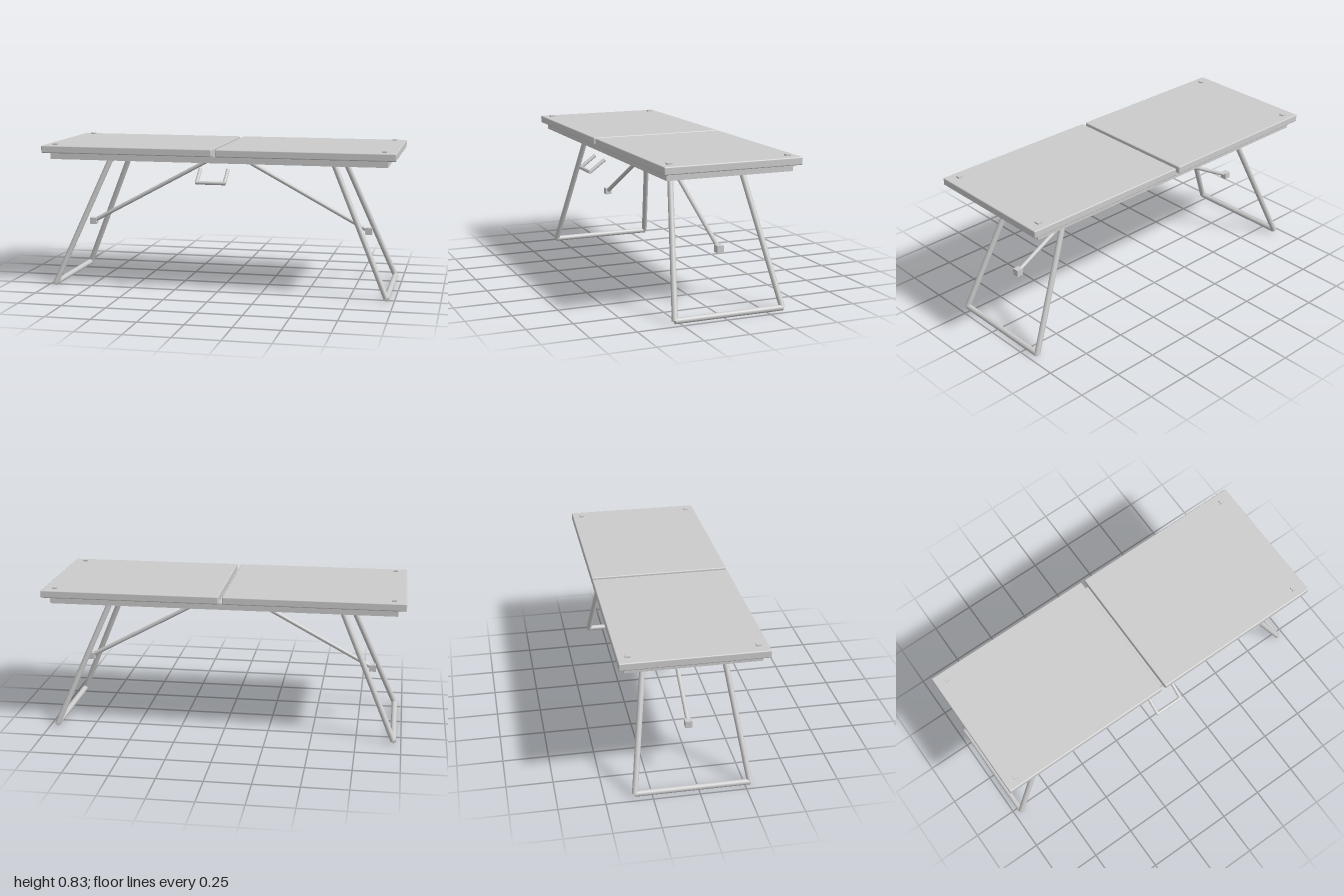
import * as THREE from 'three';
import { RoundedBoxGeometry } from 'three/addons/geometries/RoundedBoxGeometry.js';

const material = new THREE.MeshStandardMaterial({ color: 0xcccccc });
const midZ = -0.032; // centre line of the table, behind the handle

function add(parent, name, geometry, x = 0, y = 0, z = 0) {
  const mesh = new THREE.Mesh(geometry, material);
  mesh.name = name;
  mesh.position.set(x, y, z);
  parent.add(mesh);
  return mesh;
}

function box(parent, name, size, x, y, z) {
  return add(parent, name, new THREE.BoxGeometry(...size), x, y, z);
}

// Straight round tube between two points
function rod(parent, name, from, to, radius) {
  const a = new THREE.Vector3(...from), b = new THREE.Vector3(...to);
  const dir = b.clone().sub(a);
  const mesh = add(parent, name, new THREE.CylinderGeometry(radius, radius, dir.length(), 20));
  mesh.position.copy(a).add(b).multiplyScalar(0.5);
  mesh.quaternion.setFromUnitVectors(new THREE.Vector3(0, 1, 0), dir.normalize());
  return mesh;
}

export function createModel() {
  const table = new THREE.Group();
  table.name = 'foldingTable';

  // Under-frame shared by both halves
  box(table, 'underFrame', [1.91, 0.037, 0.711], 0, 0.7615, midZ);

  for (const s of [-1, 1]) {
    const half = new THREE.Group();
    half.name = s > 0 ? 'leftHalf' : 'rightHalf';
    table.add(half);

    // Table top panel with softened edges
    add(half, 'topPanel', new RoundedBoxGeometry(0.989, 0.042, 0.774, 2, 0.006), s * 0.5055, 0.801, midZ);

    for (const t of [-1, 1]) {
      // Corner pad, leg bracket and splayed leg
      box(half, 'cornerPad', [0.026, 0.01, 0.026], s * 0.932, 0.825, midZ + t * 0.333);
      box(half, 'legBracket', [0.048, 0.017, 0.048], s * 0.644, 0.7345, midZ + t * 0.201);
      rod(half, 'leg', [s * 0.645, 0.738, midZ + t * 0.203], [s * 0.957, 0.016, midZ + t * 0.309], 0.016);
    }

    // Foot bar joining the two legs
    rod(half, 'footBar', [s * 0.957, 0.016, midZ - 0.31], [s * 0.957, 0.016, midZ + 0.31], 0.016);

    // Diagonal brace with its end block
    rod(half, 'brace', [s * 0.098, 0.727, midZ], [s * 0.824, 0.335, midZ], 0.012);
    box(half, 'braceBlock', [0.038, 0.038, 0.038], s * 0.824, 0.334, midZ);

    // Carrying handle arm
    rod(half, 'handleArm', [s * 0.078, 0.709, 0.323], [s * 0.078, 0.645, 0.411], 0.01);
  }

  // Carrying handle grip
  rod(table, 'handleGrip', [-0.084, 0.645, 0.411], [0.084, 0.645, 0.411], 0.01);
  return table;
}
